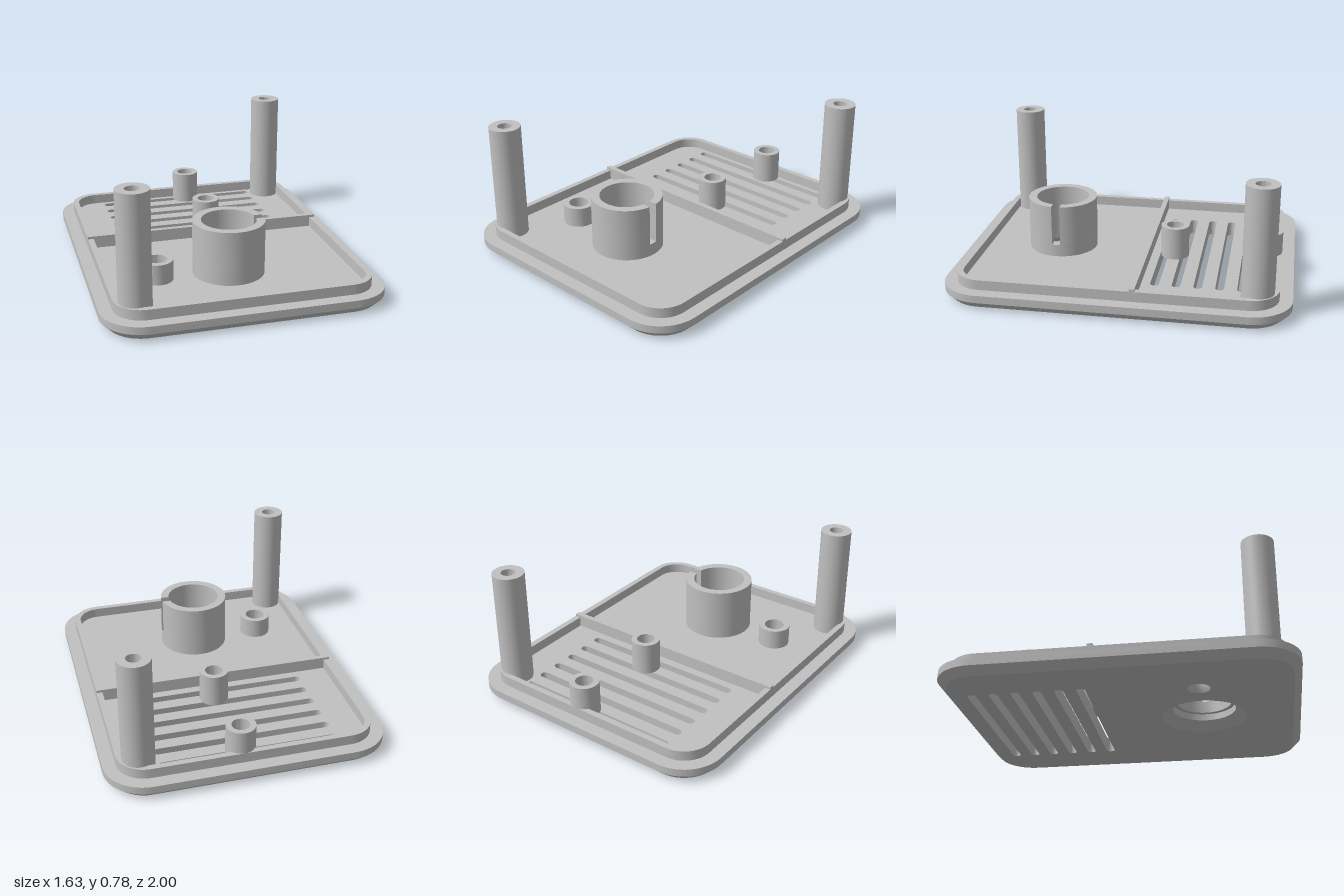
import * as THREE from 'three';
import { toCreasedNormals, mergeGeometries } from 'three/addons/utils/BufferGeometryUtils.js';

const V = (x, y) => new THREE.Vector2(x, y);

// Counter-clockwise rounded rectangle in plan, centred on (x, z); plan y is -z.
function roundedRect(halfX, halfZ, r, x = 0, z = 0, steps = 12) {
  const pts = [];
  [[1, 1], [-1, 1], [-1, -1], [1, -1]].forEach(([sx, sy], corner) => {
    for (let i = 0; i <= steps; i++) {
      const a = (corner + i / steps) * Math.PI / 2;
      pts.push(V(x + sx * (halfX - r) + r * Math.cos(a), -z + sy * (halfZ - r) + r * Math.sin(a)));
    }
  });
  return pts;
}

function circle(r, x, z, steps = 48) {
  return Array.from({ length: steps }, (_, i) => {
    const a = (i / steps) * Math.PI * 2;
    return V(x + r * Math.cos(a), -z + r * Math.sin(a));
  });
}

function makeShape(outline, holes = []) {
  const shape = new THREE.Shape(outline);
  shape.holes = holes.map((h) => new THREE.Path(h));
  return shape;
}

// Flat face at a height, facing up or down
function face(outline, holes, y, down = false) {
  const g = new THREE.ShapeGeometry(makeShape(outline, holes));
  if (down) {
    const idx = g.index.array;
    for (let i = 0; i < idx.length; i += 3) [idx[i], idx[i + 1]] = [idx[i + 1], idx[i]];
  }
  const out = g.rotateX(-Math.PI / 2).translate(0, y, 0).toNonIndexed();
  out.deleteAttribute('uv');
  out.computeVertexNormals();
  return out;
}

// Wall between two loops of equal length
function wall(lower, y0, upper, y1, inward = false) {
  const pos = [];
  const n = lower.length;
  for (let i = 0; i < n; i++) {
    const j = (i + 1) % n;
    const a = [lower[i].x, y0, -lower[i].y], b = [lower[j].x, y0, -lower[j].y];
    const c = [upper[j].x, y1, -upper[j].y], d = [upper[i].x, y1, -upper[i].y];
    pos.push(...(inward ? [b, a, d, b, d, c] : [a, b, c, a, c, d]).flat());
  }
  const g = new THREE.BufferGeometry();
  g.setAttribute('position', new THREE.Float32BufferAttribute(pos, 3));
  g.computeVertexNormals();
  return g;
}

function raise(shape, y0, y1) {
  return new THREE.ExtrudeGeometry(shape, { depth: y1 - y0, bevelEnabled: false, curveSegments: 32 })
    .rotateX(-Math.PI / 2).translate(0, y0, 0);
}

export function createModel() {
  const group = new THREE.Group();
  const grey = new THREE.MeshStandardMaterial({ color: 0xc0c0c0 });
  grey.name = 'plain grey';

  const add = (name, geometry, x = 0, z = 0) => {
    const mesh = new THREE.Mesh(toCreasedNormals(geometry, 0.5), grey);
    mesh.name = name;
    mesh.position.set(x, 0, z);
    group.add(mesh);
  };

  const FLOOR = 0.09, MID = 0.045;
  const bigZ = 0.435, smallX = -0.425;

  // Base plate: chamfered lower edge, vent slots and two countersunk holes
  const edge = roundedRect(0.815, 1, 0.24);
  const foot = roundedRect(0.77, 0.955, 0.195);
  const slots = [];
  for (let i = 0; i < 6; i++) {
    slots.push(roundedRect(0.517, 0.025, 0.0249, -0.002, -0.835 + i * 0.1245, 6));
  }
  const bigWide = circle(0.25, 0, bigZ), bigBore = circle(0.185, 0, bigZ);
  const smallWide = circle(0.065, smallX, bigZ), smallBore = circle(0.05, smallX, bigZ);
  const plate = [
    face(edge, [...slots, bigBore, smallBore], FLOOR),
    face(foot, [...slots, bigWide, smallWide], 0, true),
    wall(foot, 0, edge, MID),
    wall(edge, MID, edge, FLOOR),
    ...slots.map((s) => wall(s, 0, s, FLOOR, true)),
    wall(bigWide, 0, bigBore, 0.05, true),
    wall(bigBore, 0.05, bigBore, FLOOR, true),
    wall(smallWide, 0, smallBore, 0.03, true),
    wall(smallBore, 0.03, smallBore, FLOOR, true),
  ];
  add('basePlate', mergeGeometries(plate));

  // Raised lip and the cross rib
  add('lip', raise(makeShape(roundedRect(0.74, 0.925, 0.165), [roundedRect(0.705, 0.89, 0.13)]), FLOOR, 0.15));
  add('crossRib', new THREE.BoxGeometry(1.48, 0.075, 0.032).translate(0, 0.1275, 0), 0, -0.12);

  // Large collar: full ring below, notched ring above
  const outer = 0.21, inner = 0.16, half = 0.025;
  add('collarBase', raise(makeShape(circle(outer, 0, 0, 64), [circle(inner, 0, 0, 64)]), FLOOR, 0.165), 0, bigZ);
  const ao = Math.asin(half / outer), ai = Math.asin(half / inner);
  const notched = new THREE.Shape();
  notched.absarc(0, 0, outer, ao, Math.PI * 2 - ao, false);
  notched.absarc(0, 0, inner, Math.PI * 2 - ai, ai, true);
  notched.closePath();
  add('notchedCollar', raise(notched, 0.165, 0.41), 0, bigZ);

  // Hollow round posts; a blind bore ends at boreY
  const tube = (name, x, z, r, bore, top, boreY, through = false) => {
    const profile = [V(r, FLOOR), V(r, top), V(bore, top), V(bore, boreY)];
    if (!through) profile.push(V(0, boreY));
    add(name, new THREE.LatheGeometry(profile, 40), x, z);
    if (!through) {
      add(name + 'Underside', new THREE.CircleGeometry(r, 40).rotateX(Math.PI / 2).translate(0, FLOOR, 0), x, z);
    }
  };
  tube('rearLeftPost', 0.62, -0.805, 0.093, 0.042, 0.78, 0.2);
  tube('frontRightPost', -0.622, 0.802, 0.093, 0.042, 0.78, 0.2);
  tube('rearBoss', 0.053, -0.84, 0.085, 0.052, 0.285, 0.1);
  tube('middleBoss', 0.053, -0.276, 0.085, 0.052, 0.285, 0.1);
  tube('smallCollar', smallX, bigZ, 0.095, 0.06, 0.212, FLOOR, true);

  return group;
}
